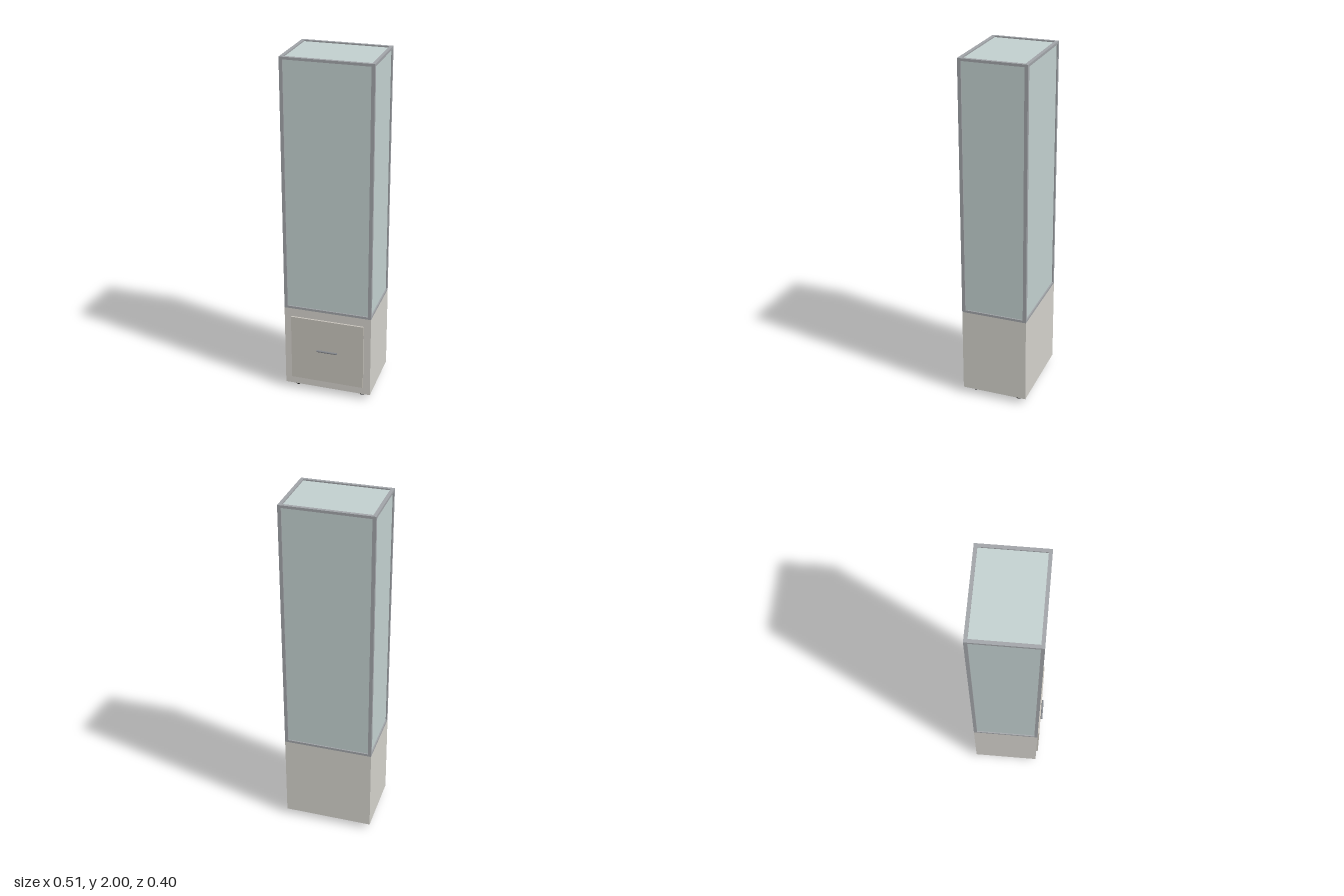
import * as THREE from 'three';

const mat = (color) => new THREE.MeshStandardMaterial({ color });

export function createModel() {
  const model = new THREE.Group();
  model.name = 'displayCabinet';
  const bodyMat = mat(0xd2d0ca), drawerMat = mat(0xc6c2ba), frameMat = mat(0xa0a3a7);
  const glassMat = mat(0xc1cfce), footMat = mat(0x222222), handleMat = mat(0x85888d);

  // Overall footprint and heights
  const W = 0.512, D = 0.38, ZC = -0.012;
  const baseY = 0.035, caseY = 0.535, topY = 2;
  const bar = 0.019, rail = 0.014, recess = 0.007, pane = 0.005;
  const midY = (caseY + topY) / 2, caseH = topY - caseY;

  const add = (name, geometry, material, x, y, z) => {
    const mesh = new THREE.Mesh(geometry, material);
    mesh.name = name;
    mesh.position.set(x, y, z);
    model.add(mesh);
    return mesh;
  };
  const box = (name, w, h, d, material, x, y, z) =>
    add(name, new THREE.BoxGeometry(w, h, d), material, x, y, z);

  // Lower cupboard with drawer front
  box('base', W, caseY - baseY, D, bodyMat, 0, (baseY + caseY) / 2, ZC);
  box('drawerFront', 0.43, 0.402, 0.01, drawerMat, 0, 0.284, 0.183);

  // Bar handle
  const handle = add('handle', new THREE.CylinderGeometry(0.006, 0.006, 0.12, 24),
    handleMat, 0, 0.287, 0.194);
  handle.rotation.z = Math.PI / 2;

  // Feet and corner posts
  for (const sx of [-1, 1]) {
    for (const sz of [-1, 1]) {
      add('foot', new THREE.CylinderGeometry(0.019, 0.017, baseY, 24), footMat,
        sx * 0.196, baseY / 2, ZC + sz * 0.131);
      box('cornerPost', bar, caseH, bar, frameMat,
        sx * (W - bar) / 2, midY, ZC + sz * (D - bar) / 2);
    }
  }

  // Upper and lower rails between the posts
  for (const y of [caseY + rail / 2, topY - rail / 2]) {
    for (const s of [-1, 1]) {
      box('longRail', W - 2 * bar, rail, bar, frameMat, 0, y, ZC + s * (D - bar) / 2);
      box('sideRail', bar, rail, D - 2 * bar, frameMat, s * (W - bar) / 2, y, ZC);
    }
  }

  // Glass panes set back inside the frame
  const paneH = caseH - 2 * rail;
  for (const s of [-1, 1]) {
    box(s > 0 ? 'frontGlass' : 'backGlass', W - 2 * bar, paneH, pane, glassMat,
      0, midY, ZC + s * (D / 2 - recess - pane / 2));
    box(s > 0 ? 'leftGlass' : 'rightGlass', pane, paneH, D - 2 * bar, glassMat,
      s * (W / 2 - recess - pane / 2), midY, ZC);
  }
  box('topGlass', W - 2 * bar, pane, D - 2 * bar, glassMat, 0, topY - recess - pane / 2, ZC);

  return model;
}
